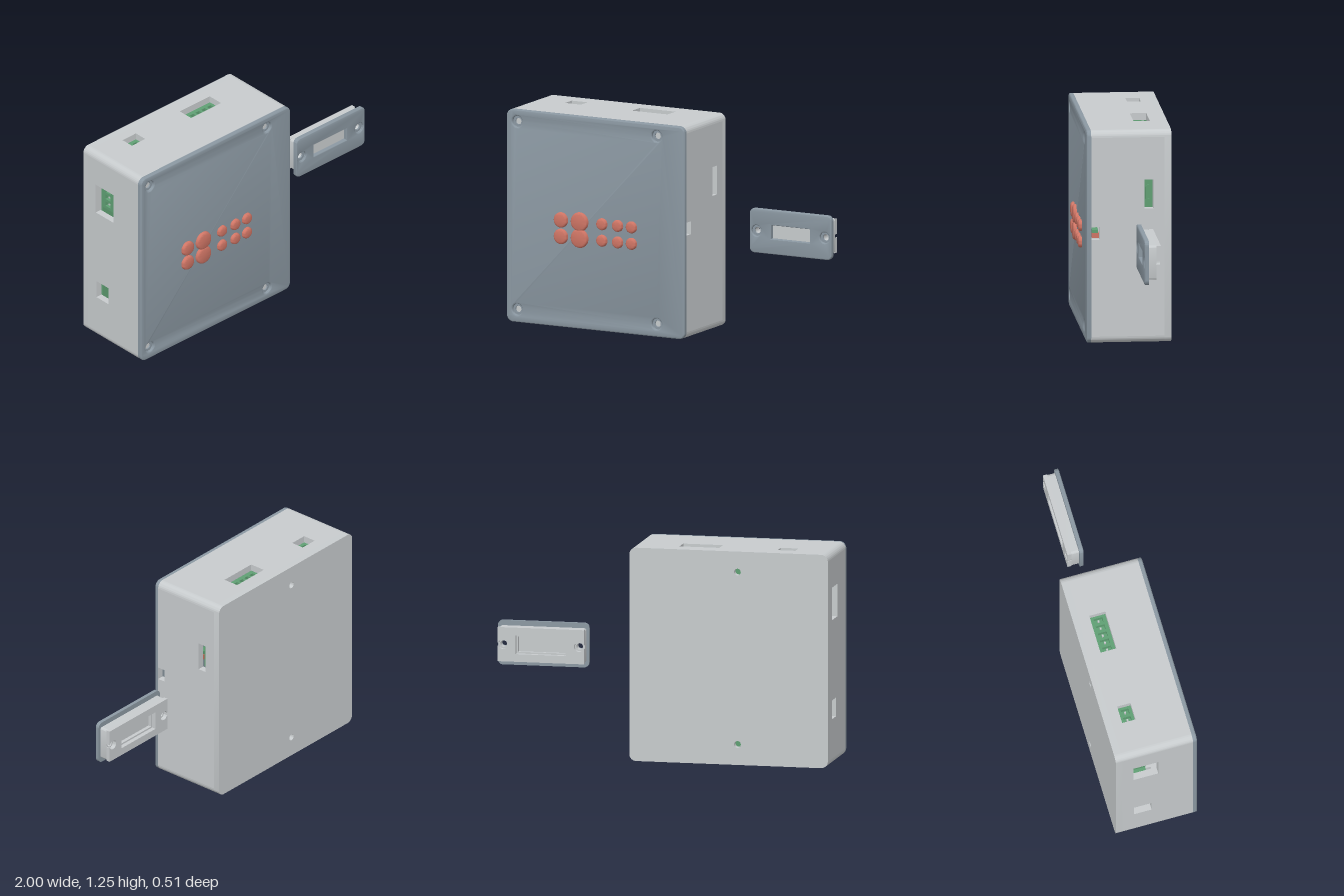
import * as THREE from 'three';
import { toCreasedNormals } from 'three/addons/utils/BufferGeometryUtils.js';

const mat = (name, color) => Object.assign(new THREE.MeshStandardMaterial({ color }), { name });

// Rounded rectangle outline
function roundRect(x0, x1, y0, y1, r) {
  const s = new THREE.Shape();
  s.absarc(x1 - r, y1 - r, r, 0, Math.PI / 2);
  s.absarc(x0 + r, y1 - r, r, Math.PI / 2, Math.PI);
  s.absarc(x0 + r, y0 + r, r, Math.PI, Math.PI * 1.5);
  s.absarc(x1 - r, y0 + r, r, Math.PI * 1.5, Math.PI * 2);
  s.closePath();
  return s;
}
const rect = (x0, x1, y0, y1) => new THREE.Shape([[x0, y0], [x1, y0], [x1, y1], [x0, y1]].map(p => new THREE.Vector2(...p)));
const circle = (x, y, r) => new THREE.Shape().absarc(x, y, r, 0, Math.PI * 2);

// Plate from z0 to z1
function plate(shape, holes, z0, z1, bevel = 0) {
  shape.holes = holes;
  const g = new THREE.ExtrudeGeometry(shape, {
    depth: z1 - z0, curveSegments: 10, bevelEnabled: bevel > 0,
    bevelSize: bevel, bevelThickness: bevel, bevelSegments: 3,
  });
  return toCreasedNormals(g.translate(0, 0, z0), 0.6);
}

export function createModel() {
  const root = new THREE.Group();
  const shell = mat('shell grey', 0xc7cbcd);
  shell.side = THREE.DoubleSide;
  const lidMat = mat('cover slate', 0x8b98a2);
  const red = mat('button red', 0xcf7565);
  const green = mat('board green', 0x5f9f73);
  const add = (name, geo, m, parent = root) => {
    const mesh = new THREE.Mesh(geo, m);
    mesh.name = name;
    parent.add(mesh);
    return mesh;
  };
  const box = (name, x0, x1, y0, y1, z0, z1, m, parent) => add(name,
    new THREE.BoxGeometry(x1 - x0, y1 - y0, z1 - z0).translate((x0 + x1) / 2, (y0 + y1) / 2, (z0 + z1) / 2), m, parent);

  // Enclosure: back, four walls with openings, rounded corners
  const L = -1, R = 0.175, H = 1.25, T = 0.04, ZB = -0.255, ZI = -0.215, ZF = 0.21;
  const body = new THREE.Group();
  body.name = 'enclosure';
  root.add(body);
  add('backPanel', plate(roundRect(L, R, 0, H, T),
    [circle(-0.465, 1.13, 0.02), circle(-0.465, 0.12, 0.02)], ZB, ZI), shell, body);

  const pockets = [[-0.375, -0.2], [-0.835, -0.665]];
  const topPorts = [[-0.785, -0.68, -0.155, -0.075, 2], [-0.335, -0.1, -0.155, -0.06, 5]];
  const flat = (holes, y) => plate(rect(L + T, R - T, -ZF, -ZI), holes, y, y + T).rotateX(-Math.PI / 2);
  add('topWall', flat(topPorts.map(([a, b, c, d]) => rect(a, b, -d, -c)), H - T), shell, body);
  add('bottomWall', flat(pockets.map(([a, b]) => rect(a, b, -0.05, 0.165)), 0), shell, body);
  const side = (holes, x) => plate(rect(-ZF, -ZI, T, H - T), holes, x, x + T).rotateY(Math.PI / 2);
  add('leftWall', side([rect(0.1, 0.15, 0.79, 0.96), rect(-0.209, -0.16, 0.61, 0.685)], R - T), shell, body);
  add('rightWall', side([rect(0, 0.15, 0.85, 1.04), rect(0.04, 0.145, 0.27, 0.38)], L), shell, body);
  [[R - T, H - T], [L + T, H - T], [L + T, T], [R - T, T]].forEach(([x, y], i) => {
    const s = new THREE.Shape().moveTo(x, y);
    s.absarc(x, y, T, i * Math.PI / 2, (i + 1) * Math.PI / 2);
    s.closePath();
    add('cornerEdge', plate(s, [], ZI, ZF), shell, body);
  });

  // Tapered cable pockets in the bottom
  for (const [a, b] of pockets) {
    const g = new THREE.CylinderGeometry(0.62 * Math.SQRT1_2, Math.SQRT1_2, 0.055, 4, 1, true)
      .rotateY(Math.PI / 4).scale(b - a, 1, 0.215).toNonIndexed();
    g.computeVertexNormals();
    add('cablePocket', g.translate((a + b) / 2, 0.0275, -0.0575), shell, body);
  }

  // Cover with stepped screw holes and a softened front edge
  const screws = [-0.93, -0.01].flatMap(x => [0.075, 1.18].map(y => [x, y]));
  const holes = r => screws.map(([x, y]) => circle(x, y, r));
  const lid = new THREE.Group();
  lid.name = 'cover';
  root.add(lid);
  add('coverBase', plate(roundRect(L, R, 0, H, T), holes(0.019), ZF, 0.218), lidMat, lid);
  add('coverFace', plate(roundRect(L, R, 0, H, T), holes(0.033), 0.218, 0.227), lidMat, lid);
  add('coverEdge', plate(roundRect(L + 0.008, R - 0.008, 0.008, H - 0.008, T - 0.008),
    holes(0.041), 0.2265, 0.227, 0.008), lidMat, lid);
  for (const [x, y] of screws) {
    add('screwPost', new THREE.CylinderGeometry(0.033, 0.033, ZF - ZI, 20)
      .rotateX(Math.PI / 2).translate(x, y, (ZF + ZI) / 2), shell, body);
  }

  // Push buttons, in two rows
  const columns = [[-0.638, 0.045], [-0.515, 0.056], [-0.368, 0.035], [-0.264, 0.035], [-0.173, 0.035]];
  for (const [x, r] of columns) for (const y of [0.533, 0.63]) {
    const p = [[r, 0], [r, 0.032], [r - 0.002, 0.038], [r - 0.006, 0.043], [r - 0.012, 0.045], [0, 0.045]];
    add('button', toCreasedNormals(new THREE.LatheGeometry(p.map(q => new THREE.Vector2(...q)), 32), 0.7)
      .rotateX(Math.PI / 2).translate(x, y, ZF), red);
  }

  // Circuit board and the parts seen through the openings
  const inside = new THREE.Group();
  inside.name = 'electronics';
  root.add(inside);
  box('circuitBoard', -0.9, 0.07, 0.1, 1.15, -0.21, -0.195, green, inside);
  box('buttonCarrier', -0.7, 0.12, 0.61, 0.64, 0.16, 0.2, red, inside);
  box('switchBoard', -0.7, 0.125, 0.64, 0.66, 0.165, 0.2, green, inside);

  // Terminal block with sockets, facing +z before it is turned
  const terminal = (w, h, n) => {
    const sockets = [], pitch = w / (n + 0.4);
    for (let i = 0; i < n; i++) {
      const c = (i - (n - 1) / 2) * pitch;
      sockets.push(rect(c - pitch * 0.32, c + pitch * 0.32, -h * 0.25, h * 0.25));
    }
    const g = new THREE.Group();
    g.name = 'terminalBlock';
    add('socketFace', plate(rect(-w / 2, w / 2, -h / 2, h / 2), sockets, -0.03, 0), green, g);
    box('socketBase', -w / 2, w / 2, -h / 2, h / 2, -0.12, -0.03, green, g);
    for (let i = 0; i < n; i++) {
      const c = (i - (n - 1) / 2) * pitch;
      box('pin', c - 0.005, c + 0.005, -0.005, 0.005, -0.03, -0.008, shell, g);
    }
    inside.add(g);
    return g;
  };
  for (const [a, b, c, d, n] of topPorts) {
    const t = terminal(b - a + 0.01, d - c + 0.01, n);
    t.rotation.x = -Math.PI / 2;
    t.position.set((a + b) / 2, H - T - 0.005, (c + d) / 2);
  }
  for (const [a, b] of pockets) {
    const t = terminal(0.12, 0.15, 2);
    t.rotation.x = Math.PI / 2;
    t.position.set((a + b) / 2, 0.06, -0.07);
  }
  const t = terminal(0.16, 0.09, 3);
  t.rotation.set(0, -Math.PI / 2, Math.PI / 2, 'YXZ');
  t.position.set(L + 0.055, 0.945, -0.105);

  // Oval data socket behind the left slot
  box('socketBoard', 0.02, 0.12, 0.785, 0.965, -0.155, -0.095, green, inside);
  const oval = roundRect(0.11, 0.14, 0.83, 0.92, 0.014);
  add('ovalSocket', plate(oval, [roundRect(0.118, 0.132, 0.84, 0.91, 0.006)], 0.12, 0.133)
    .rotateY(Math.PI / 2), green, inside);

  // Separate display unit: bezel
  const unit = new THREE.Group();
  unit.name = 'displayUnit';
  root.add(unit);
  const cx = 0.73, cy = 0.63, ends = [0.505, 0.955];
  const eyes = r => ends.map(x => circle(x, cy, r));
  const windowHole = d => rect(0.6 - d, 0.857 + d, 0.59 - d, 0.67 + d);
  add('bezelBase', plate(roundRect(0.46, 1, 0.5, 0.76, 0.03), [windowHole(0), ...eyes(0.019)], -0.05, -0.041), lidMat, unit);
  add('bezelFace', plate(roundRect(0.46, 1, 0.5, 0.76, 0.03), [windowHole(0), ...eyes(0.033)], -0.041, -0.031), lidMat, unit);
  add('bezelEdge', plate(roundRect(0.466, 0.994, 0.506, 0.754, 0.024), [windowHole(0.006), ...eyes(0.038)],
    -0.0315, -0.031, 0.006), lidMat, unit);

  // Rear housing with screw eyes that are slotted to the ends
  const inner = rect(0.59, 0.87, 0.585, 0.675);
  add('housing', plate(roundRect(0.475, 0.985, 0.53, 0.73, 0.015), [inner, ...eyes(0.019)], -0.095, -0.05), shell, unit);
  const er = 0.03, a = Math.asin(0.01 / er);
  const rear = new THREE.Shape().moveTo(0.475, 0.53);
  rear.lineTo(0.985, 0.53);
  rear.lineTo(0.985, cy - 0.01);
  rear.absarc(ends[1], cy, er - 0.002, -a, a, true);
  rear.lineTo(0.985, cy + 0.01);
  rear.lineTo(0.985, 0.73);
  rear.lineTo(0.475, 0.73);
  rear.lineTo(0.475, cy + 0.01);
  rear.absarc(ends[0], cy, er - 0.002, Math.PI - a, Math.PI + a, true);
  rear.lineTo(0.475, cy - 0.01);
  rear.closePath();
  add('housingRear', plate(rear, [rect(cx - 0.15, cx + 0.15, 0.575, 0.685)], -0.12, -0.095), shell, unit);
  box('displayPanel', 0.58, 0.88, 0.58, 0.68, -0.075, -0.055, shell, unit);

  return root;
}
